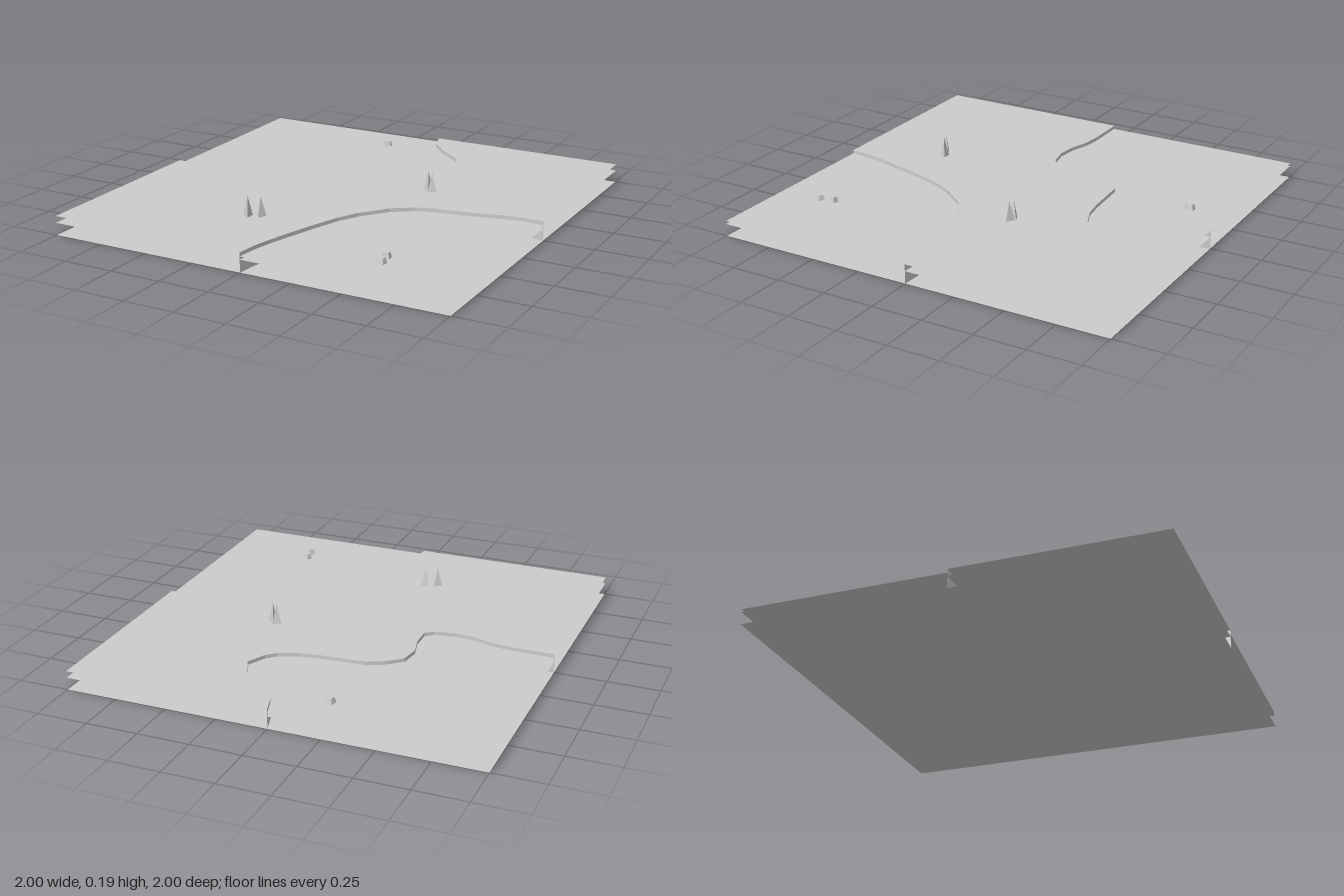
import * as THREE from 'three';

const TOP = 0.093, LOW = 0.075, MID = 0.06;

// Bank lines as [x, z]
const backBank = [[-1, 0], [-0.8, 0], [-0.7, 0.01], [-0.6, 0.04], [-0.5, 0.05], [-0.4, 0.03],
  [-0.36, 0], [-0.36, -0.1], [-0.385, -0.2], [-0.37, -0.3], [-0.3, -0.36], [-0.22, -0.4],
  [0, -0.415], [0.1, -0.43], [0.2, -0.47], [0.24, -0.51], [0.285, -0.6], [0.24, -0.7],
  [0.12, -0.8], [0.03, -0.9], [0, -1]];
const frontBank = [[0, 1], [0.01, 0.9], [0.03, 0.8], [0.1, 0.55], [0.15, 0.4], [0.2, 0.3],
  [0.3, 0.17], [0.4, 0.1], [0.5, 0.07], [0.6, 0.055], [0.7, 0.035], [0.8, 0.01], [0.9, -0.005], [1, 0]];

export function createModel() {
  const group = new THREE.Group();
  const grey = new THREE.MeshStandardMaterial({ color: 0xcccccc, side: THREE.DoubleSide, flatShading: true });
  grey.name = 'plain grey';

  const add = (name, geometry, x = 0, y = 0, z = 0, turn = 0) => {
    const mesh = new THREE.Mesh(geometry, grey);
    mesh.name = name;
    mesh.position.set(x, y, z);
    mesh.rotation.y = turn;
    group.add(mesh);
  };

  // Horizontal sheet from an outline of [x, z] points
  const sheet = (name, outline, y) => {
    const shape = new THREE.Shape(outline.map(([x, z]) => new THREE.Vector2(x, -z)));
    add(name, new THREE.ShapeGeometry(shape).rotateX(-Math.PI / 2), 0, y);
  };

  // Upright wall along a bank line
  const wall = (name, line) => {
    const pos = [], index = [];
    line.forEach(([x, z], i) => {
      pos.push(x, 0, z, x, TOP, z);
      const a = 2 * i;
      if (i < line.length - 1) index.push(a, a + 2, a + 1, a + 1, a + 2, a + 3);
    });
    const geometry = new THREE.BufferGeometry();
    geometry.setAttribute('position', new THREE.Float32BufferAttribute(pos, 3));
    geometry.setIndex(index);
    geometry.computeVertexNormals();
    add(name, geometry);
  };

  // Stacked square sheets
  const square = [[-1, 1], [1, 1], [1, -1], [-1, -1]];
  sheet('base', square, 0);
  sheet('middleLayer', square, MID);

  // Two low corners and the raised band between them
  sheet('backLowGround', [...backBank, [-1, -1]], LOW);
  sheet('frontLowGround', [...frontBank, [1, 1]], LOW);
  sheet('raisedBand', [...backBank, [1, -1], ...[...frontBank].reverse(), [-1, 1]], TOP);
  wall('backBankWall', backBank);
  wall('frontBankWall', [...frontBank].reverse());

  // Three-sided trees on the band
  const tree = new THREE.ConeGeometry(0.028, 0.105, 3);
  [[0.34, -0.16, 0.4], [0.365, -0.15, 1.5], [-0.225, 0.575, 0.5], [-0.17, 0.55, 0]]
    .forEach(([x, z, turn]) => add('tree', tree, x, 0.1375, z, turn));

  // Five-sided rocks on the low ground
  [[-0.21, -0.8, 0.028], [0.56, 0.71, 0.025], [0.573, 0.78, 0.025]].forEach(([x, z, r], i) =>
    add('rock', new THREE.CylinderGeometry(r * 0.7, r, 0.028, 5), x, 0.087, z, i));

  return group;
}
